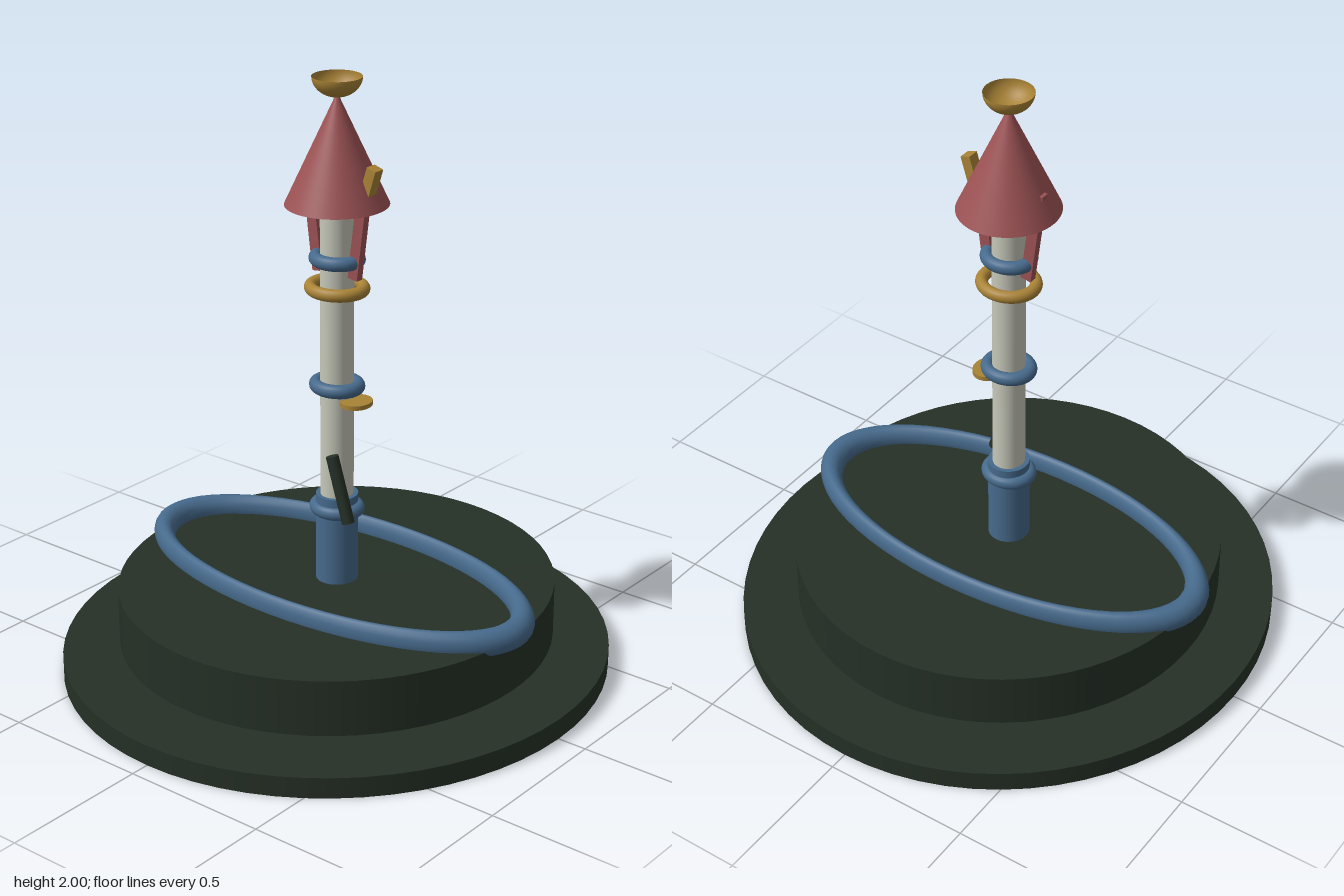
import * as THREE from 'three';

const material = (name, color, side = THREE.FrontSide) => {
  const m = new THREE.MeshStandardMaterial({ color, side });
  m.name = name;
  return m;
};

export function createModel() {
  const group = new THREE.Group();
  const green = material('dark green', 0x253026);
  const blue = material('slate blue', 0x466a8c);
  const pale = material('pale stone', 0xc6c7b9);
  const gold = material('gold', 0xa98336, THREE.DoubleSide);
  const red = material('brick red', 0x9c5254);

  const add = (name, geometry, mat, x, y, z) => {
    const mesh = new THREE.Mesh(geometry, mat);
    mesh.name = name;
    mesh.position.set(x, y, z);
    group.add(mesh);
    return mesh;
  };

  // Upright cylinder from y0 to y1 with separate x and z radii
  const drum = (name, mat, rx, rz, y0, y1, x = 0) => {
    const geometry = new THREE.CylinderGeometry(rx, rx, y1 - y0, 64);
    const mesh = add(name, geometry, mat, x, (y0 + y1) / 2, 0);
    mesh.scale.z = rz / rx;
    return mesh;
  };

  // Flat-lying ring, given its outer x and z radii
  const ring = (name, mat, rx, rz, tube, y, segments = 48) => {
    const geometry = new THREE.TorusGeometry(rx - tube, tube, 16, segments).rotateX(Math.PI / 2);
    const mesh = add(name, geometry, mat, 0, y, 0);
    mesh.scale.z = rz / rx;
    return mesh;
  };

  // Stepped base and the oval ring lying on it
  drum('baseDisc', green, 0.9, 0.936, 0, 0.07);
  drum('upperDisc', green, 0.714, 0.743, 0.105, 0.295);
  ring('ovalRing', blue, 0.76, 0.36, 0.045, 0.31, 64);

  // Post
  drum('postSleeve', blue, 0.069, 0.071, 0.29, 0.6);
  drum('post', pale, 0.053, 0.057, 0.55, 1.62);
  [0.55, 0.98, 1.41].forEach((y) => ring('postRing', blue, 0.095, 0.085, 0.023, y));
  ring('goldRing', gold, 0.11, 0.1, 0.021, 1.312);

  // Round tab and slanted lever on the post
  drum('tab', gold, 0.05, 0.057, 0.93, 0.945, 0.08);
  const lever = add('lever', new THREE.CylinderGeometry(0.021, 0.021, 0.228, 24), green, 0.081, 0.66, 0.084);
  lever.rotation.z = 0.3;

  // Conical roof and its two slanted struts
  const roof = add('roof', new THREE.ConeGeometry(0.165, 0.36, 64), red, 0, 1.77, 0);
  roof.scale.z = 1.03;
  for (const side of [-1, 1]) {
    const strut = add('roofStrut', new THREE.BoxGeometry(0.038, 0.33, 0.027), red, side * 0.093, 1.52, 0);
    strut.rotation.z = -side * 0.13;
  }

  // Small gold block on the roof
  const block = add('roofBlock', new THREE.BoxGeometry(0.035, 0.088, 0.04), gold, 0.137, 1.69, 0);
  block.rotation.z = -0.3;

  // Open bowl on the tip
  const bowl = new THREE.SphereGeometry(0.08, 32, 12, 0, Math.PI * 2, Math.PI / 2, Math.PI / 2);
  add('finialBowl', bowl, gold, 0, 2, 0).scale.y = 0.82;

  return group;
}
